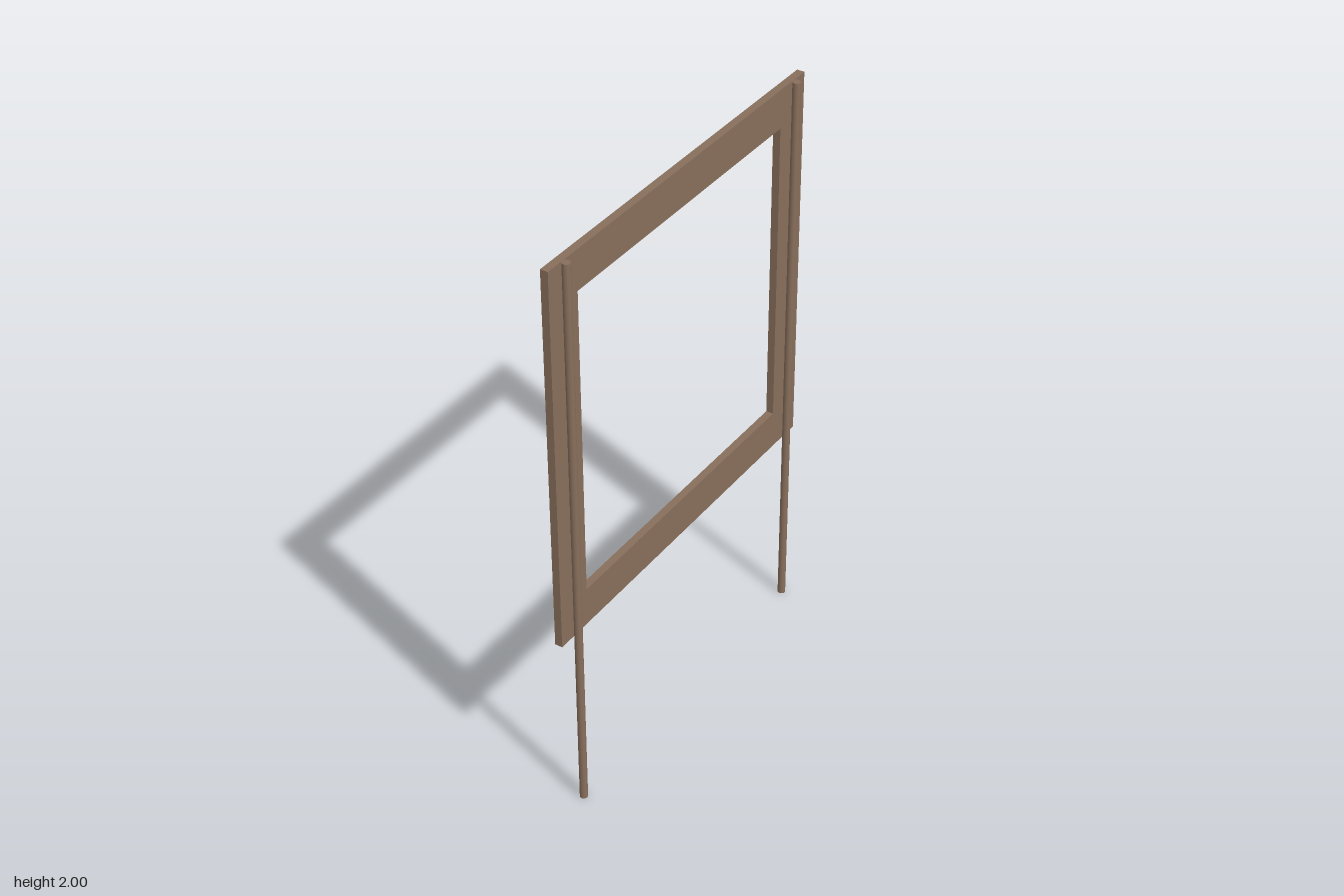
import * as THREE from 'three';
import { mergeGeometries } from 'three/addons/utils/BufferGeometryUtils.js';

const SIZE = 4 / 3;          // outer side of the square frame
const BORDER = SIZE / 10;    // width of the frame border
const CELLS = 20;            // checker cells along each side
const DEPTH = 0.0257;        // frame thickness
const BASE = 2 - SIZE;       // height of the frame's lower edge
const POLE_R = 0.0133;

function material(name, color) {
  const m = new THREE.MeshStandardMaterial({ color });
  m.name = name;
  return m;
}

function part(name, geometry, mat) {
  const mesh = new THREE.Mesh(geometry, mat);
  mesh.name = name;
  return mesh;
}

// Square outline centred on the origin
function square(side, Type) {
  const h = side / 2;
  return new Type([[-h, -h], [h, -h], [h, h], [-h, h]].map(([x, y]) => new THREE.Vector2(x, y)));
}

// Checker cells of one parity around the border, facing +z
function checker(parity) {
  const c = SIZE / CELLS;
  const cells = [];
  for (let row = 0; row < CELLS; row++) {
    for (let col = 0; col < CELLS; col++) {
      const onBorder = Math.min(row, col, CELLS - 1 - row, CELLS - 1 - col) < 2;
      if (!onBorder || (row + col) % 2 !== parity) continue;
      cells.push(new THREE.PlaneGeometry(c, c)
        .translate((col + 0.5) * c - SIZE / 2, (row + 0.5) * c - SIZE / 2, DEPTH + 0.001));
    }
  }
  return mergeGeometries(cells);
}

export function createModel() {
  const wood = material('brown wood', 0x886f5c);
  const gray = material('light gray paint', 0xcccaca);
  const green = material('green paint', 0x52b826);

  const model = new THREE.Group();
  model.name = 'targetFrame';

  // Open square frame with a checkered face, turned to face -x
  const panel = new THREE.Group();
  panel.name = 'panel';
  const outline = square(SIZE, THREE.Shape);
  outline.holes.push(square(SIZE - 2 * BORDER, THREE.Path));
  panel.add(
    part('frame', new THREE.ExtrudeGeometry(outline, { depth: DEPTH, bevelEnabled: false }), wood),
    part('greenChecks', checker(0), green),
    part('grayChecks', checker(1), gray),
  );
  panel.rotation.y = -Math.PI / 2;
  panel.position.y = BASE + SIZE / 2;
  model.add(panel);

  // Two round poles behind the frame
  for (const side of [-1, 1]) {
    const pole = part(side > 0 ? 'frontPole' : 'backPole',
      new THREE.CylinderGeometry(POLE_R, POLE_R, 2, 16), wood);
    pole.position.set(POLE_R, 1, side * 0.6);
    model.add(pole);
  }
  return model;
}
